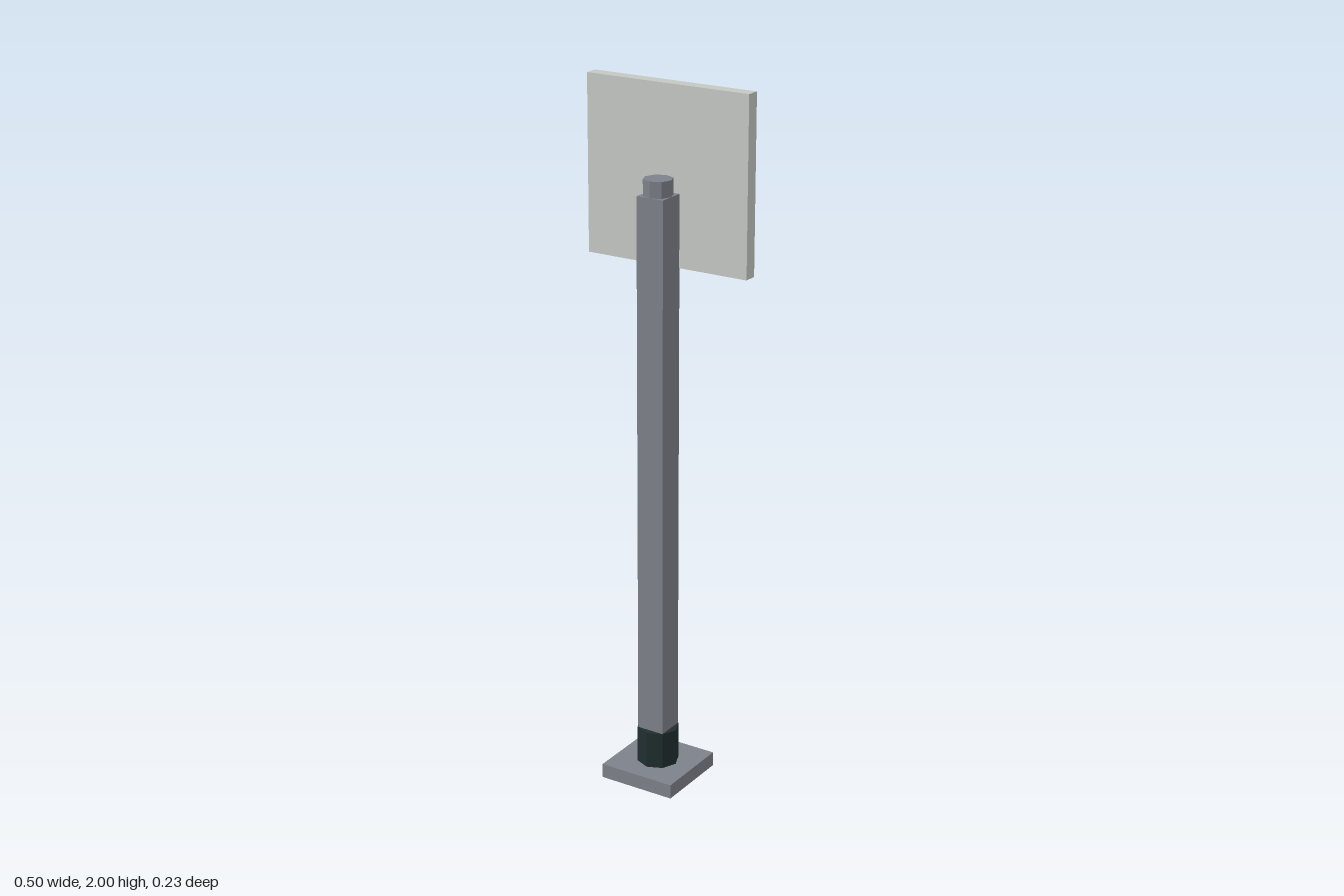
import * as THREE from 'three';

const material = (name, color) => {
  const m = new THREE.MeshStandardMaterial({ color, flatShading: true });
  m.name = name;
  return m;
};

export function createModel() {
  const group = new THREE.Group();
  const steel = material('grey steel', 0x7d8189);
  const dark = material('dark collar', 0x1f2e2f);
  const pale = material('pale panel', 0xc4c8c3);
  const blue = material('sign blue', 0x0e5390);

  const add = (name, geometry, mat, x, y, z) => {
    const mesh = new THREE.Mesh(geometry, mat);
    mesh.name = name;
    mesh.position.set(x, y, z);
    group.add(mesh);
    return mesh;
  };
  const box = (name, w, y0, y1, d, z, mat) =>
    add(name, new THREE.BoxGeometry(w, y1 - y0, d), mat, 0, (y0 + y1) / 2, z);
  const octagon = (name, r, y0, y1, mat) =>
    add(name, new THREE.CylinderGeometry(r, r, y1 - y0, 8), mat, 0, (y0 + y1) / 2, 0);

  // Base, collar, square post and its octagonal cap
  box('basePlate', 0.23, 0, 0.042, 0.23, 0, steel);
  octagon('collar', 0.06, 0.042, 0.15, dark);
  box('post', 0.082, 0.042, 1.71, 0.082, 0, steel);
  octagon('postCap', 0.041, 1.71, 1.755, steel);

  // Sign panel behind the post
  box('signPanel', 0.498, 1.507, 2, 0.039, -0.0595, pale);

  // Blue face with clipped corners; the arrow is cut out so the pale panel shows
  const w = 0.231, h = 0.228, c = 0.012;
  const face = new THREE.Shape([
    [w - c, -h], [w, -h + c], [w, h - c], [w - c, h],
    [-w + c, h], [-w, h - c], [-w, -h + c], [-w + c, -h],
  ].map(([x, y]) => new THREE.Vector2(x, y)));
  const half = [[0.018, 0.178], [0.125, 0.054], [0.125, 0.04], [0.1, 0.022], [0.045, 0.036], [0.045, -0.177]];
  const mirrored = half.map(([x, y]) => [-x, y]).reverse();
  face.holes.push(new THREE.Path([...half, ...mirrored].map(([x, y]) => new THREE.Vector2(x, y))));
  const plate = new THREE.ExtrudeGeometry(face, { depth: 0.001, bevelEnabled: false });
  add('signFace', plate, blue, 0, 1.7535, -0.079).rotation.y = Math.PI;

  return group;
}
